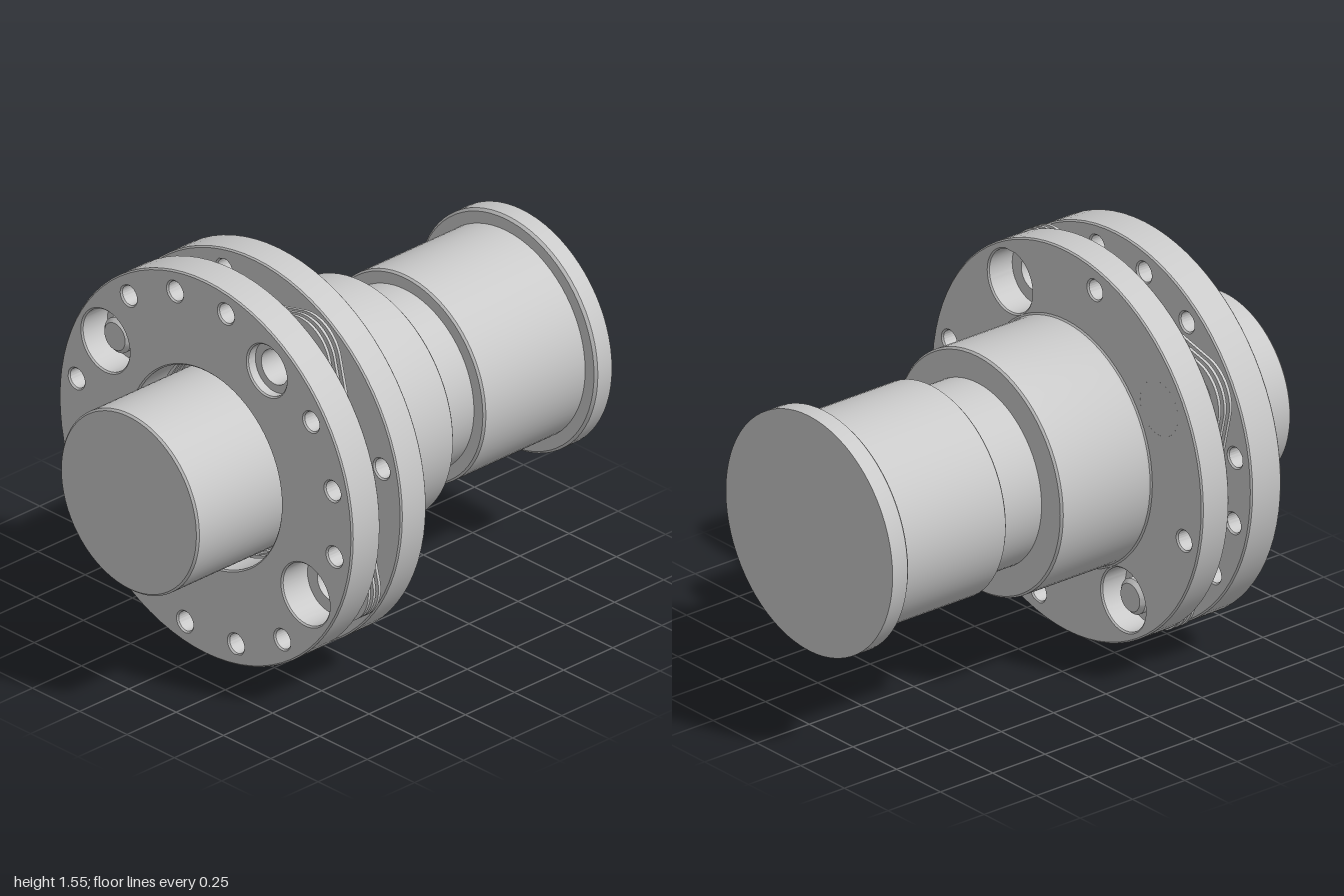
import * as THREE from 'three';
import { toCreasedNormals } from 'three/addons/utils/BufferGeometryUtils.js';

const material = new THREE.MeshStandardMaterial({ color: 0xcccccc });
const BOLT_CIRCLE = 0.62;   // radius on which the four bolts sit
const SMALL_CIRCLE = 0.69;  // radius on which the small holes sit
const BOLT_START = THREE.MathUtils.degToRad(31.5);
const GAP = -0.4125;        // middle of the gap between the flanges

function mesh(name, geometry) {
  const m = new THREE.Mesh(toCreasedNormals(geometry, 0.5), material);
  m.name = name;
  return m;
}

// Turned part around local z; points are [radius, z] with z rising
function turned(name, points, segments = 64) {
  const geometry = new THREE.LatheGeometry(points.map(([r, z]) => new THREE.Vector2(r, z)), segments);
  return mesh(name, geometry.rotateX(Math.PI / 2));
}

function circle(x, y, r) {
  return new THREE.Path().absarc(x, y, r, 0, Math.PI * 2, true);
}

function onCircle(radius, angle) {
  return [radius * Math.cos(angle), radius * Math.sin(angle)];
}

// Round plate with holes and finely broken edges
function flange(name, z0, z1, holes) {
  const bevel = 0.006;
  const shape = new THREE.Shape().absarc(0, 0, 0.775, 0, Math.PI * 2, false);
  shape.holes.push(...holes);
  const geometry = new THREE.ExtrudeGeometry(shape, {
    depth: z1 - z0 - 2 * bevel, curveSegments: 40,
    bevelThickness: bevel, bevelSize: bevel, bevelSegments: 1,
    bevelOffset: 0,
  });
  // Keep the outer rim at full radius after bevelling
  const p = geometry.attributes.position;
  for (let i = 0; i < p.count; i++) {
    const r = Math.hypot(p.getX(i), p.getY(i));
    if (r > 0.76) p.setXY(i, p.getX(i) * (r - bevel) / r, p.getY(i) * (r - bevel) / r);
  }
  const m = mesh(name, geometry);
  m.position.z = z0 + bevel;
  return m;
}

// Thin flexible disc: a rounded square reaching around all four bolts
function flexDisc(z) {
  const shape = new THREE.Shape();
  for (let k = 0; k < 4; k++) {
    const a = BOLT_START + k * Math.PI / 2;
    shape.absarc(...onCircle(BOLT_CIRCLE, a), 0.16, a - Math.PI / 4, a + Math.PI / 4, false);
  }
  shape.closePath();
  shape.holes.push(circle(0, 0, 0.4));
  const geometry = new THREE.ExtrudeGeometry(shape, { depth: 0.012, bevelEnabled: false, curveSegments: 24 });
  const m = mesh('flexDisc', geometry);
  m.position.z = z - 0.006;
  return m;
}

// Bolt or hollow sleeve; +z points to the flange it is anchored in
function fastener(solid, face) {
  const collar = [[0.122, -0.07], [0.122, 0.0525], [0.108, 0.0525]];
  if (solid) {
    return turned('bolt', [
      [0, -0.15], [0.055, -0.15], [0.07, -0.135], [0.07, -0.07], ...collar,
      [0.108, face], [0, face],
    ], 40);
  }
  const top = face - 0.04;
  return turned('sleeve', [
    [0.07, -0.07], ...collar, [0.108, top], [0.07, top], [0.07, -0.07],
  ], 40);
}

export function createModel() {
  const root = new THREE.Group();
  root.name = 'flangeCoupling';
  const axis = new THREE.Group();
  axis.name = 'turnedAssembly';
  axis.rotation.y = Math.PI / 2;
  axis.position.y = 0.775;
  root.add(axis);

  // Shaft with the stepped hub
  axis.add(turned('steppedShaft', [
    [0, -1], [0.357, -1], [0.365, -0.992], [0.365, -0.3],
    [0.49, -0.3], [0.49, -0.23], [0.483, -0.225], [0.48, -0.215],
    [0.48, 0.187], [0.472, 0.195], [0.365, 0.195],
    [0.365, 0.405], [0.412, 0.405], [0.42, 0.413], [0.42, 0.918],
    [0.467, 0.918], [0.477, 0.928], [0.477, 1], [0, 1],
  ], 72));

  // Flange holes: wide clearance and snug seats alternate between the two plates
  const frontHoles = [];
  const backHoles = [circle(0, 0, 0.405)];
  for (let k = 0; k < 4; k++) {
    const a = BOLT_START + k * Math.PI / 2;
    const inFront = k % 2 === 0;
    const at = onCircle(BOLT_CIRCLE, a);
    frontHoles.push(circle(...at, inFront ? 0.108 : 0.13));
    backHoles.push(circle(...at, inFront ? 0.13 : 0.108));
    frontHoles.push(circle(...onCircle(SMALL_CIRCLE, a + Math.PI / 4), 0.045));
    for (let j = 1; j < 4; j++) {
      backHoles.push(circle(...onCircle(SMALL_CIRCLE, a + j * Math.PI / 8), 0.045));
    }

    // Fastener through both plates
    const part = fastener(k === 0 || k === 3, inFront ? 0.1825 : 0.1975);
    part.position.set(...at, GAP);
    if (!inFront) part.rotation.x = Math.PI;
    axis.add(part);
  }
  axis.add(flange('frontFlange', -0.36, -0.23, frontHoles));
  axis.add(flange('backFlange', -0.61, -0.465, backHoles));

  // Disc pack in the gap
  for (const dz of [-0.026, 0, 0.026]) axis.add(flexDisc(GAP + dz));

  return root;
}
